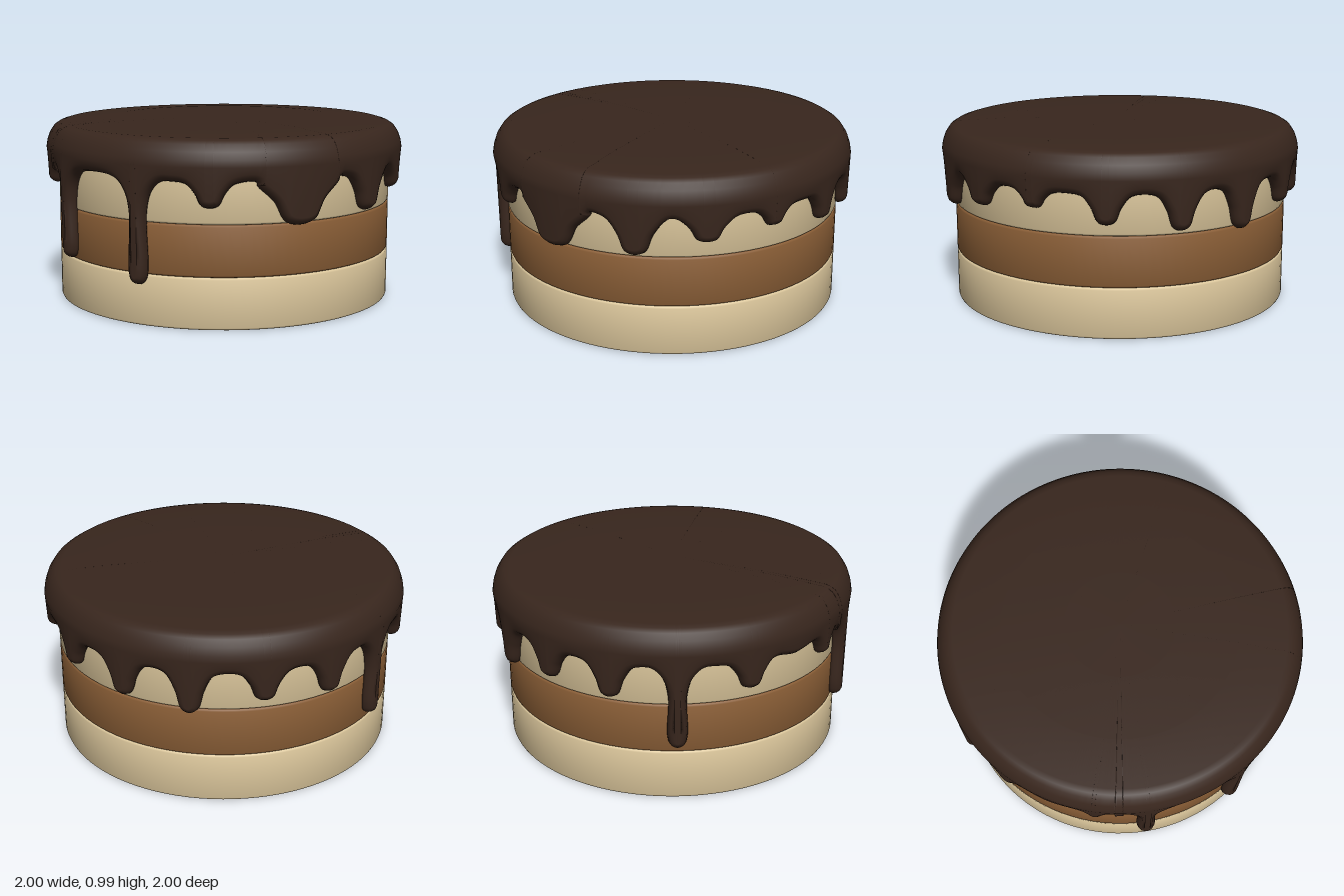
import * as THREE from 'three';
import { toCreasedNormals } from 'three/addons/utils/BufferGeometryUtils.js';

const GAP = 0.76; // usual height of the icing edge between drips

// Drips around the cake: [angle in degrees from the front, tip height, half width, edge height after it]
const DRIPS = [
  [5, 0.22, 0.055], [28, 0.63, 0.13], [56, 0.535, 0.24], [84, 0.56, 0.16],
  [106, 0.63, 0.15], [128, 0.67, 0.11], [151, 0.605, 0.13], [174, 0.565, 0.13],
  [196, 0.53, 0.13], [219, 0.6, 0.13], [241, 0.575, 0.13], [262, 0.31, 0.055],
  [285, 0.61, 0.13, 0.735], [316, 0.65, 0.1, 0.72], [332.7, 0.28, 0.055, 0.775],
];

// One round sponge or filling layer with softened rims
function layer(name, y0, y1, color) {
  const r = 0.93, b = 0.012;
  const profile = [[0, y0], [r - b, y0], [r - b * 0.3, y0 + b * 0.3], [r, y0 + b],
    [r, y1 - b], [r - b * 0.3, y1 - b * 0.3], [r - b, y1], [0, y1]];
  const lathe = new THREE.LatheGeometry(profile.map(([x, y]) => new THREE.Vector2(x, y)), 96);
  const mesh = new THREE.Mesh(toCreasedNormals(lathe, 0.9), new THREE.MeshStandardMaterial({ color }));
  mesh.name = name;
  return mesh;
}

// Closed wavy line that the icing's lower edge follows
function dripEdge(count) {
  const points = [];
  const add = (s, y) => points.push(new THREE.Vector3(Math.sin(s), y, Math.cos(s)));
  DRIPS.forEach(([deg, tip, w, gap = GAP], i) => {
    const c = THREE.MathUtils.degToRad(deg);
    const h = GAP - tip;
    const half = h > 0.3
      ? [[w + 0.08, GAP - 0.005], [w + 0.025, 0.7], [w - 0.004, 0.6], [w, tip + 0.07], [w * 0.72, tip + 0.018]]
      : [[w, GAP - 0.08 * h], [w * 0.62, tip + h * 0.55], [w * 0.36, tip + h * 0.1]];
    half.forEach(([o, y]) => add(c - o, y));
    add(c, tip);
    half.slice().reverse().forEach(([o, y]) => add(c + o, y));
    // middle of the gap before the next drip
    const next = i + 1 < DRIPS.length ? DRIPS[i + 1][0] : DRIPS[0][0] + 360;
    add((c + THREE.MathUtils.degToRad(next)) / 2, gap);
  });
  const samples = new THREE.CatmullRomCurve3(points, true).getSpacedPoints(count).slice(0, count);
  return samples.map((p) => [Math.atan2(p.x, p.z), p.y]);
}

// Icing shell: rounded lip along the drip edge, then up the side and over the top
function icing() {
  const n = 1000;
  const edge = dripEdge(n);
  const lip = [[0.03, 0.915], [0.006, 0.925], [0, 0.945], [0.008, 0.968], [0.022, 0.984], [0.04, 0.991]];
  const crown = [[0.998, 0.84], [0.992, 0.875], [0.978, 0.915], [0.955, 0.95],
    [0.93, 0.966], [0.9, 0.975], [0.64, 0.988], [0.3, 0.99], [0.001, 0.99]];
  const rows = lip.length + crown.length;
  const positions = [], index = [];
  for (let i = 0; i < n; i++) {
    const a = edge[(i + n - 1) % n], b = edge[(i + 1) % n];
    let ds = b[0] - a[0];
    ds -= Math.round(ds / (2 * Math.PI)) * 2 * Math.PI;
    const dy = b[1] - a[1];
    const len = Math.hypot(ds, dy);
    const put = (s, y, r) => positions.push(Math.sin(s) * r, y, Math.cos(s) * r);
    const inset = (o) => [edge[i][0] - dy / len * o, edge[i][1] + ds / len * o];
    lip.forEach(([o, r]) => put(...inset(o), r));
    const [s] = inset(0.04);
    crown.forEach(([r, y]) => put(s, y, r));
    const p = i * rows, q = ((i + 1) % n) * rows;
    for (let k = 0; k < rows - 1; k++) {
      index.push(p + k, q + k, q + k + 1, p + k, q + k + 1, p + k + 1);
    }
  }
  const geometry = new THREE.BufferGeometry();
  geometry.setAttribute('position', new THREE.Float32BufferAttribute(positions, 3));
  geometry.setIndex(index);
  geometry.computeVertexNormals();
  const mesh = new THREE.Mesh(geometry,
    new THREE.MeshStandardMaterial({ color: 0x38261d, side: THREE.DoubleSide }));
  mesh.name = 'drippingIcing';
  return mesh;
}

export function createModel() {
  const cake = new THREE.Group();
  cake.name = 'layerCake';
  cake.add(
    layer('bottomSponge', 0, 0.272, 0xdcc79c),
    layer('filling', 0.272, 0.542, 0x8a5e36),
    layer('topSponge', 0.542, 0.9, 0xdcc79c),
    icing(),
  );
  return cake;
}
